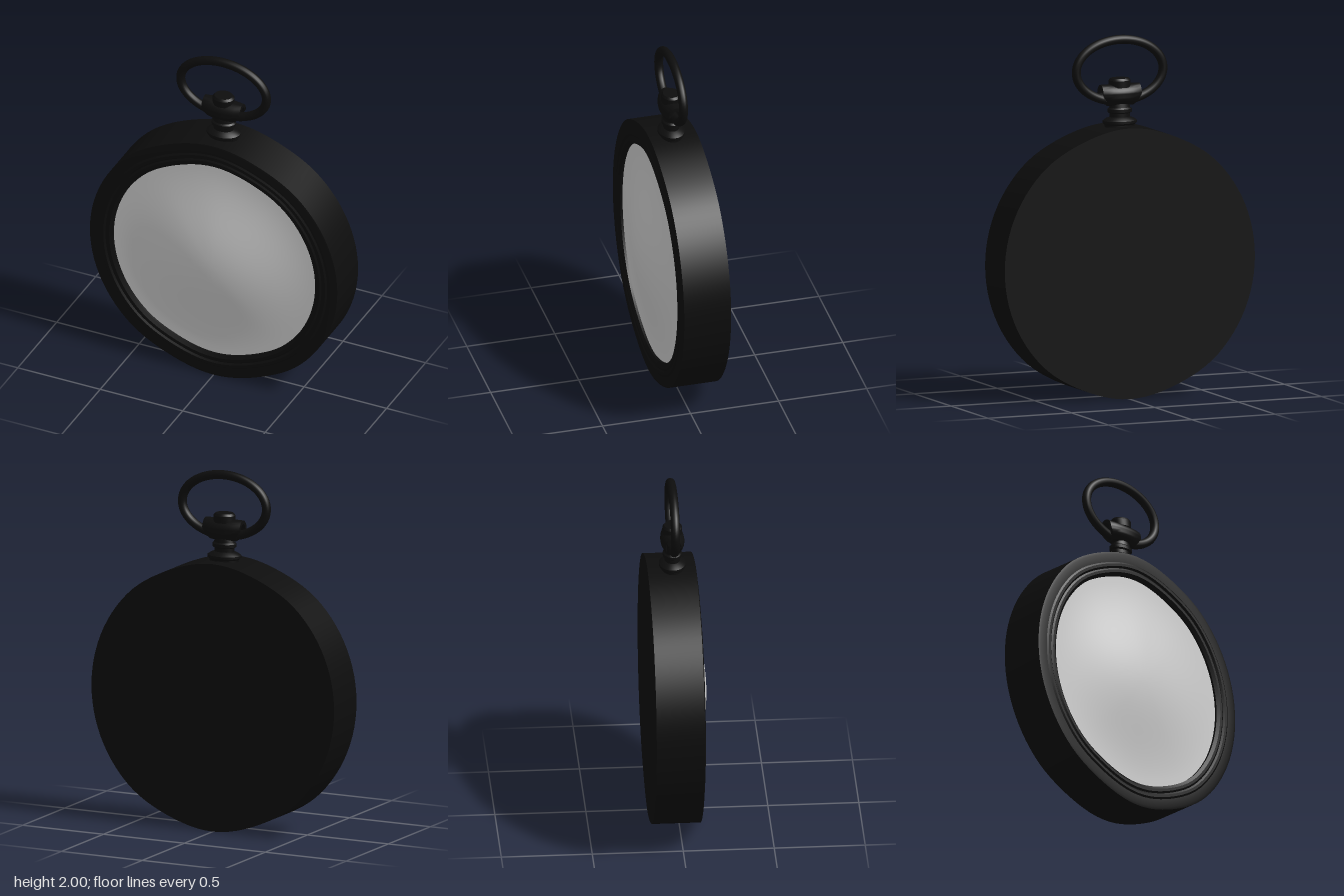
import * as THREE from 'three';
import { toCreasedNormals } from 'three/addons/utils/BufferGeometryUtils.js';

const black = new THREE.MeshStandardMaterial({ color: 0x0d0d0d });
black.name = 'black metal';
const pale = new THREE.MeshStandardMaterial({ color: 0xd0d0d0 });
pale.name = 'pale glass';

const CASE_Y = 0.75; // centre of the round case
const STEM_Z = -0.025; // depth of stem and bow

function lathe(profile, segments) {
  return new THREE.LatheGeometry(profile.map(([r, y]) => new THREE.Vector2(r, y)), segments);
}

// Turns a lathe to face +z and draws its outline in slightly beside the top and bottom
function facing(profile) {
  const g = lathe(profile, 96).rotateX(Math.PI / 2);
  const p = g.attributes.position;
  for (let i = 0; i < p.count; i++) {
    const x = p.getX(i), y = p.getY(i);
    const angle = Math.atan2(Math.abs(x), Math.abs(y));
    const dip = angle < Math.PI / 4 ? 0.012 * (1 - Math.cos(angle * 8)) / 2 : 0;
    p.setXY(i, x * (1 - dip), y * (1 - dip));
  }
  return toCreasedNormals(g, 0.5);
}

export function createModel() {
  const group = new THREE.Group();
  const add = (name, geometry, material, x, y, z) => {
    const mesh = new THREE.Mesh(geometry, material);
    mesh.name = name;
    mesh.position.set(x, y, z);
    group.add(mesh);
    return mesh;
  };

  // Case with a stepped front bezel
  add('caseAndBezel', facing([
    [0, -0.163], [0.75, -0.163], [0.75, 0.103], [0.735, 0.106], [0.69, 0.106],
    [0.68, 0.112], [0.665, 0.112], [0.655, 0.104], [0.645, 0.11], [0.63, 0.11],
    [0.613, 0.098], [0.613, 0.07], [0, 0.07],
  ]), black, 0, CASE_Y, 0);

  // Domed glass, flaring out towards its edge
  const dome = [];
  for (let i = 0; i <= 16; i++) {
    const t = 1 - i / 16;
    dome.push([0.614 * t, 0.085 + 0.0375 * (1 + Math.cos(Math.PI * t))]);
  }
  add('glass', facing(dome), pale, 0, CASE_Y, 0);

  // Turned neck, oval in plan
  const neck = toCreasedNormals(lathe([
    [0, 1.46], [0.085, 1.46], [0.085, 1.505], [0.098, 1.515], [0.098, 1.528], [0.08, 1.54],
    [0.058, 1.548], [0.058, 1.568], [0.07, 1.575], [0.07, 1.592], [0.06, 1.6],
    [0.055, 1.622], [0, 1.622],
  ], 32), 0.5);
  add('neck', neck, black, 0, 0, STEM_Z).scale.z = 0.75;

  // Hollow sleeve the bow passes through
  const ring = new THREE.Shape().absellipse(0, 0, 0.066, 0.06, 0, Math.PI * 2);
  ring.holes.push(new THREE.Path().absellipse(0, 0, 0.042, 0.04, 0, Math.PI * 2, true));
  const sleeve = new THREE.ExtrudeGeometry(ring, {
    depth: 0.23, steps: 8, bevelEnabled: false, curveSegments: 20,
  }).translate(0, 0, -0.115).rotateY(Math.PI / 2);
  const p = sleeve.attributes.position;
  for (let i = 0; i < p.count; i++) {
    const x = p.getX(i), y = p.getY(i), z = p.getZ(i);
    const narrow = 1 - 0.35 * THREE.MathUtils.clamp((0.005 - y) / 0.065, 0, 1);
    p.setXYZ(i, x * narrow, y, z * Math.sqrt(1 - 0.55 * (x / 0.115) ** 2));
  }
  add('bowSleeve', toCreasedNormals(sleeve, 0.6), black, 0, 1.67, STEM_Z);

  // Winding crown
  const crown = toCreasedNormals(lathe([
    [0, 1.712], [0.062, 1.712], [0.062, 1.75], [0.052, 1.762], [0, 1.762],
  ], 24), 0.5);
  add('crown', crown, black, 0, 0, STEM_Z).scale.z = 0.87;

  // Oval bow
  const path = [];
  for (let i = 0; i < 24; i++) {
    const a = i / 24 * Math.PI * 2;
    path.push(new THREE.Vector3(0.26 * Math.cos(a), 0.17 * Math.sin(a), 0));
  }
  const bow = new THREE.TubeGeometry(new THREE.CatmullRomCurve3(path, true), 96, 0.025, 14, true);
  add('bow', bow, black, 0, 1.805, STEM_Z);

  return group;
}
